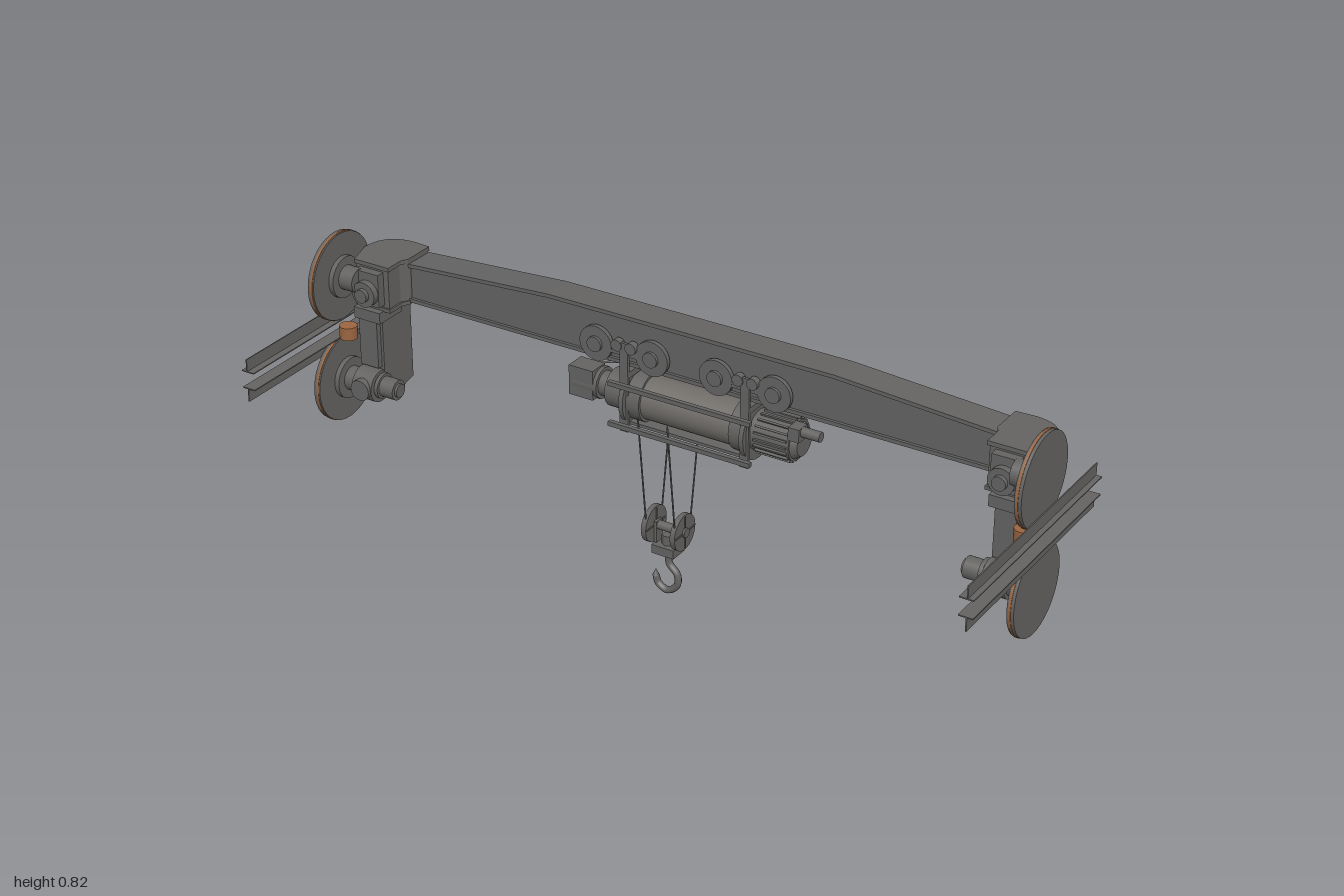
import * as THREE from 'three';

const mat = (name, color) => Object.assign(new THREE.MeshStandardMaterial({ color }), { name });

export function createModel() {
  const steel = mat('dark steel', 0x646362);
  const drumGrey = mat('drum grey', 0x6f6c68);
  const copper = mat('copper', 0x9a6540);
  const root = new THREE.Group();
  root.name = 'overheadCrane';

  const add = (name, geo, m = steel) => {
    const mesh = new THREE.Mesh(geo, m);
    mesh.name = name;
    root.add(mesh);
    return mesh;
  };
  // box given by its extents on each axis
  const box = (name, x0, x1, y0, y1, z0, z1, m) => add(name,
    new THREE.BoxGeometry(Math.abs(x1 - x0), y1 - y0, z1 - z0)
      .translate((x0 + x1) / 2, (y0 + y1) / 2, (z0 + z1) / 2), m);
  // cylinder centred at a point and lying along an axis
  const cyl = (name, axis, r, len, x, y, z, m, seg = 24, r2 = r) => {
    const g = new THREE.CylinderGeometry(r2, r, len, seg);
    if (axis === 'x') g.rotateZ(-Math.PI / 2);
    if (axis === 'z') g.rotateX(Math.PI / 2);
    return add(name, g.translate(x, y, z), m);
  };
  const tube = (name, pts, r, seg = 24, m = steel) => add(name, new THREE.TubeGeometry(
    new THREE.CatmullRomCurve3(pts.map(p => new THREE.Vector3(...p))), seg, r, 8), m);
  const rod = (name, a, b, r) => {
    const va = new THREE.Vector3(...a), vb = new THREE.Vector3(...b);
    const mesh = add(name, new THREE.CylinderGeometry(r, r, va.distanceTo(vb), 8));
    mesh.position.copy(va).lerp(vb, 0.5);
    mesh.quaternion.setFromUnitVectors(new THREE.Vector3(0, 1, 0), vb.sub(va).normalize());
  };
  const poly = pts => new THREE.Shape(pts.map(p => new THREE.Vector2(...p)));
  const extrude = (shape, depth) => new THREE.ExtrudeGeometry(shape, { depth, bevelEnabled: false, curveSegments: 10 });

  // Main girder: recessed web with wider top and bottom flanges
  const top = [[0.86, 0.736], [0.4, 0.765], [-0.4, 0.765], [-0.86, 0.736]];
  add('girderWeb', extrude(poly([[-0.86, 0.64], [0.86, 0.64], ...top.map(([x, y]) => [x, y - 0.004])]), 0.07).translate(0, 0, -0.208));
  add('girderTopFlange', extrude(poly([...top, ...top.map(([x, y]) => [x, y - 0.01]).reverse()]), 0.085).translate(0, 0, -0.215));
  box('girderBottomFlange', -0.86, 0.86, 0.633, 0.643, -0.215, -0.13);

  for (const s of [-1, 1]) {
    // Girder end turning forward, rounded at its outer back corner
    const plan = grow => {
      const p = new THREE.Shape();
      p.moveTo(s * 0.82, 0.215 + grow);
      p.lineTo(s * 0.87, 0.218 + grow);
      p.quadraticCurveTo(s * (0.955 + grow), 0.215 + grow, s * (0.955 + grow), 0.13);
      p.lineTo(s * 0.935, 0.06 - grow);
      p.lineTo(s * (0.832 - grow), 0.06 - grow);
      p.lineTo(s * (0.832 - grow), 0.11);
      p.lineTo(s * 0.82, 0.13 - grow);
      return p;
    };
    const slab = (name, y, h, grow) => add(name, extrude(plan(grow), h).rotateX(-Math.PI / 2).translate(0, y, 0));
    slab('girderEnd', 0.636, 0.108, -0.003);
    slab('girderEndTopPlate', 0.742, 0.011, 0.002);
    slab('girderEndBottomPlate', 0.628, 0.01, 0.002);

    // Leg carrying the lower wheel, rounded at the foot
    const leg = new THREE.Shape();
    leg.moveTo(0.06, 0.63);
    leg.lineTo(0.06, 0.42);
    leg.quadraticCurveTo(0.07, 0.375, 0.12, 0.38);
    leg.lineTo(0.178, 0.395);
    leg.lineTo(0.178, 0.63);
    add('leg', extrude(leg, 0.07).rotateY(Math.PI / 2).translate(s * 0.893 - 0.035, 0, 0));
    box('legFrontPlate', s * 0.865, s * 0.92, 0.47, 0.61, -0.06, -0.045);
    box('legClamp', s * 0.85, s * 0.93, 0.60, 0.63, -0.13, -0.04);

    // Upper and lower wheels with hubs
    for (const y of [0.705, 0.422]) {
      cyl('wheelDisc', 'x', 0.116, 0.018, s * 0.973, y, -0.043, steel, 40);
      cyl('wheelTread', 'x', 0.1175, 0.006, s * 0.971, y, -0.043, copper, 40);
      cyl('wheelBoss', 'x', 0.055, 0.014, s * 0.958, y, -0.043);
      cyl('wheelHub', 'x', 0.032, 0.05, s * 0.935, y, -0.043);
    }

    // Upper drive gearbox
    box('upperBearingBox', s * 0.85, s * 0.92, 0.645, 0.735, -0.08, -0.04);
    cyl('upperGearCover', 'z', 0.034, 0.025, s * 0.885, 0.68, -0.035);
    cyl('upperGearCap', 'z', 0.018, 0.014, s * 0.885, 0.68, -0.018);
    // Lower drive motor
    cyl('lowerGearbox', 'x', 0.043, 0.06, s * 0.89, 0.422, -0.045);
    cyl('lowerMotor', 'x', 0.027, 0.06, s * 0.835, 0.425, -0.045);
    cyl('lowerMotorFlange', 'x', 0.034, 0.01, s * 0.852, 0.425, -0.045);
    cyl('lowerMotorCap', 'x', 0.018, 0.01, s * 0.803, 0.425, -0.045);
    cyl('lowerGearCover', 'z', 0.028, 0.022, s * 0.89, 0.422, -0.005);

    // Side guide roller between the rails
    cyl('guideRoller', 'y', 0.023, 0.034, s * 0.945, 0.56, -0.032, copper);
    box('guideRollerArm', s * 0.91, s * 0.95, 0.55, 0.563, -0.15, -0.05);
    cyl('guideRollerPivot', 'y', 0.035, 0.012, s * 0.925, 0.553, -0.115);

    // Runway rails: one tee upright, one inverted
    box('upperRailFlange', s * 0.964, s, 0.585, 0.588, -0.32, 0.32);
    box('upperRailWeb', s * 0.983, s * 0.986, 0.585, 0.62, -0.32, 0.32);
    box('lowerRailFlange', s * 0.964, s, 0.539, 0.542, -0.32, 0.32);
    box('lowerRailWeb', s * 0.983, s * 0.986, 0.505, 0.542, -0.32, 0.32);
  }

  // Hoist drum with frame discs and tie bars
  const hy = 0.54, hz = -0.175;
  cyl('hoistDrum', 'x', 0.057, 0.34, 0, hy, hz, drumGrey, 32);
  for (const x of [-0.17, 0.17]) {
    cyl('drumFlange', 'x', 0.078, 0.012, x, hy, hz, steel, 32);
    cyl('drumCollar', 'x', 0.064, 0.04, x * 0.86, hy, hz, steel, 32);
  }
  for (const [y, z] of [[0.595, -0.093], [0.485, -0.093], [0.575, -0.256], [0.495, -0.256]])
    box('frameTieBar', -0.2, 0.2, y - 0.006, y + 0.006, z - 0.006, z + 0.006);
  box('frameLowerPlate', -0.17, 0.17, 0.474, 0.482, -0.215, -0.13);

  // Finned hoist motor and its brake rod
  cyl('hoistMotor', 'x', 0.052, 0.11, 0.23, hy, hz, steel, 28);
  for (let i = 0; i < 20; i++) {
    const a = i * Math.PI / 10;
    const fin = box('motorFin', -0.045, 0.045, -0.004, 0.004, -0.0025, 0.0025);
    fin.position.set(0.235, hy + 0.054 * Math.cos(a), hz + 0.054 * Math.sin(a));
    fin.rotation.x = a;
  }
  cyl('motorCap', 'x', 0.05, 0.02, 0.29, hy, hz, steel, 28, 0.036);
  box('terminalBox', 0.285, 0.315, 0.565, 0.6, -0.16, -0.12);
  cyl('brakeRod', 'x', 0.013, 0.065, 0.332, 0.587, -0.14);

  // Gearbox and control box on the other end
  cyl('hoistGearbox', 'x', 0.05, 0.06, -0.205, hy, hz);
  cyl('gearboxNeck', 'x', 0.032, 0.06, -0.25, hy, hz);
  cyl('gearboxMotor', 'x', 0.042, 0.07, -0.30, hy, hz, steel, 12);
  box('controlBox', -0.345, -0.275, 0.505, 0.585, -0.19, -0.135);
  tube('controlCable', [[-0.345, 0.56, -0.205], [-0.27, 0.57, -0.235], [-0.19, 0.575, -0.256]], 0.003);

  // Trolley sets gripping the girder on both faces
  for (const x of [-0.17, 0.17]) {
    for (const [z, out] of [[-0.125, 1], [-0.221, -1]]) {
      for (const d of [-0.085, 0.075])
        cyl('trolleyWheel', 'z', 0.046, 0.012, x + d, 0.675, z);
      for (const d of [-0.085, 0.075])
        cyl('trolleyWheelHub', 'z', 0.02, 0.016, x + d, 0.675, z + out * 0.006);
      box('trolleyCrossbar', x - 0.075, x + 0.065, 0.662, 0.688, z - 0.005, z + 0.005);
      for (const d of [-0.02, 0.02])
        cyl('trolleyPin', 'z', 0.015, 0.018, x + d, 0.69, z + out * 0.006);
      box('trolleyHanger', x - 0.012, x + 0.012, 0.46, 0.7, z + out * 0.008 - 0.004, z + out * 0.008 + 0.004);
    }
    box('trolleyYoke', x - 0.012, x + 0.012, 0.606, 0.622, -0.233, -0.113);
  }
  cyl('trolleyMotor', 'z', 0.026, 0.035, -0.17, 0.685, -0.236);
  cyl('trolleyMotorCap', 'z', 0.016, 0.01, -0.17, 0.685, -0.255);

  // Rope guide sheave under the drum
  cyl('guideSheave', 'z', 0.04, 0.014, -0.075, 0.47, -0.24);
  cyl('guideSheaveHub', 'z', 0.014, 0.022, -0.075, 0.47, -0.24);
  box('guideSheaveBracket', -0.085, -0.065, 0.46, 0.55, -0.252, -0.246);

  // Hook block: sheaves with spokes, ropes, crosshead and hook
  const by = 0.192, bz = -0.167;
  for (const s of [-1, 1]) {
    const x = -0.076 + s * 0.042;
    cyl('blockSheave', 'x', 0.049, 0.014, x, by, bz, steel, 32);
    cyl('blockSheaveHub', 'x', 0.013, 0.026, x, by, bz);
    box('sheaveRib', x - 0.009, x + 0.009, by - 0.045, by + 0.045, bz - 0.002, bz + 0.002);
    box('sheaveRib', x - 0.009, x + 0.009, by - 0.002, by + 0.002, bz - 0.045, bz + 0.045);
    rod('hoistRope', [x, 0.52, -0.095], [x, 0.21, bz + 0.036], 0.0022);
    rod('hoistRope', [x, 0.47, -0.243], [x, 0.21, bz - 0.037], 0.0022);
    box('blockCheek', x - s * 0.016, x - s * 0.01, 0.13, 0.205, bz - 0.014, bz + 0.014);
  }
  cyl('blockAxle', 'x', 0.012, 0.1, -0.076, by, bz);
  box('blockCrosshead', -0.108, -0.044, 0.122, 0.146, bz - 0.027, bz + 0.027);
  cyl('hookNut', 'y', 0.016, 0.035, -0.076, 0.155, bz, steel, 6);
  tube('hook', [[-0.074, 0.13, bz], [-0.072, 0.09, bz], [-0.049, 0.064, bz], [-0.048, 0.034, bz],
    [-0.077, 0.0095, bz], [-0.105, 0.023, bz], [-0.111, 0.042, bz]], 0.0092, 36);
  add('hookTip', new THREE.ConeGeometry(0.0092, 0.02, 10).translate(-0.112, 0.052, bz));

  return root;
}
